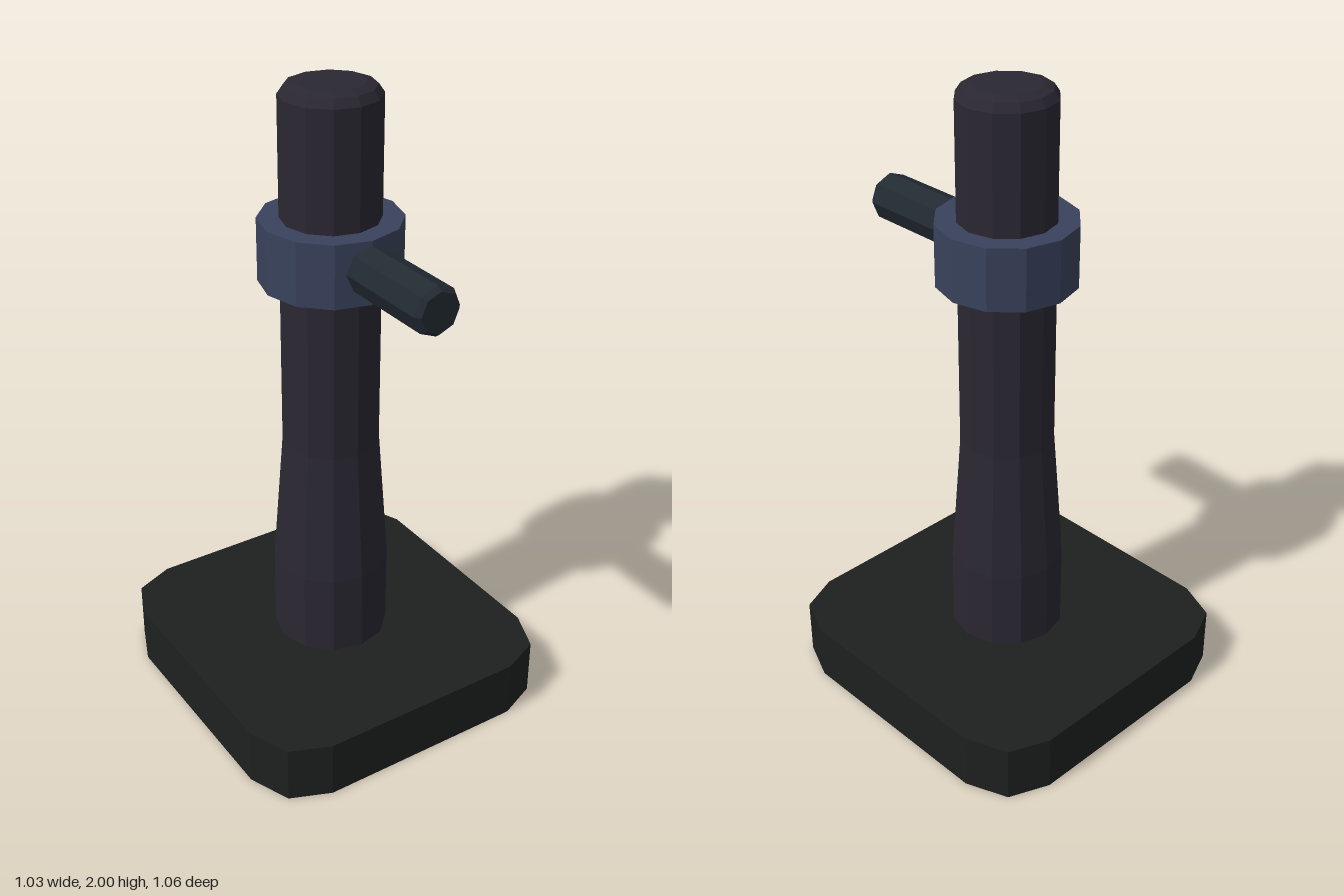
import * as THREE from 'three';

const material = (color) => new THREE.MeshStandardMaterial({ color, flatShading: true });

function addPart(group, name, geometry, color) {
  const mesh = new THREE.Mesh(geometry, material(color));
  mesh.name = name;
  group.add(mesh);
  return mesh;
}

// Faceted solid of revolution from [radius, height] pairs, bottom to top
const lathe = (profile, sides) =>
  new THREE.LatheGeometry(profile.map(([r, y]) => new THREE.Vector2(r, y)), sides);

export function createModel() {
  const model = new THREE.Group();
  model.name = 'postWithCollar';

  // Base plate: rectangle with two-step chamfered corners
  const corner = [[0.513, 0.347], [0.46, 0.477], [0.335, 0.529]];
  const mirrored = [...corner].reverse();
  const outline = [
    ...corner,
    ...mirrored.map(([x, y]) => [-x, y]),
    ...corner.map(([x, y]) => [-x, -y]),
    ...mirrored.map(([x, y]) => [x, -y]),
  ];
  const plate = new THREE.Shape(outline.map(([x, y]) => new THREE.Vector2(x, y)));
  const plateGeometry = new THREE.ExtrudeGeometry(plate, { depth: 0.185, bevelEnabled: false });
  plateGeometry.rotateX(-Math.PI / 2);
  addPart(model, 'basePlate', plateGeometry, 0x1e2020);

  // Tapered column with a softened top edge
  addPart(model, 'column', lathe([
    [0, 0.18], [0.181, 0.18], [0.181, 0.45], [0.149, 0.88],
    [0.149, 1.965], [0.132, 1.99], [0.1, 2], [0, 2],
  ], 12), 0x2a2732);

  // Collar ring around the column
  addPart(model, 'collar', lathe([
    [0.146, 1.41], [0.214, 1.41], [0.214, 1.605], [0.146, 1.605], [0.146, 1.41],
  ], 12), 0x39425c);

  // Octagonal handle pointing forward from the collar
  const handle = addPart(model, 'handle', lathe([
    [0, 0.165], [0.075, 0.165], [0.075, 0.513], [0.062, 0.529], [0, 0.529],
  ], 8), 0x222a32);
  handle.rotation.x = Math.PI / 2;
  handle.position.y = 1.513;

  return model;
}
